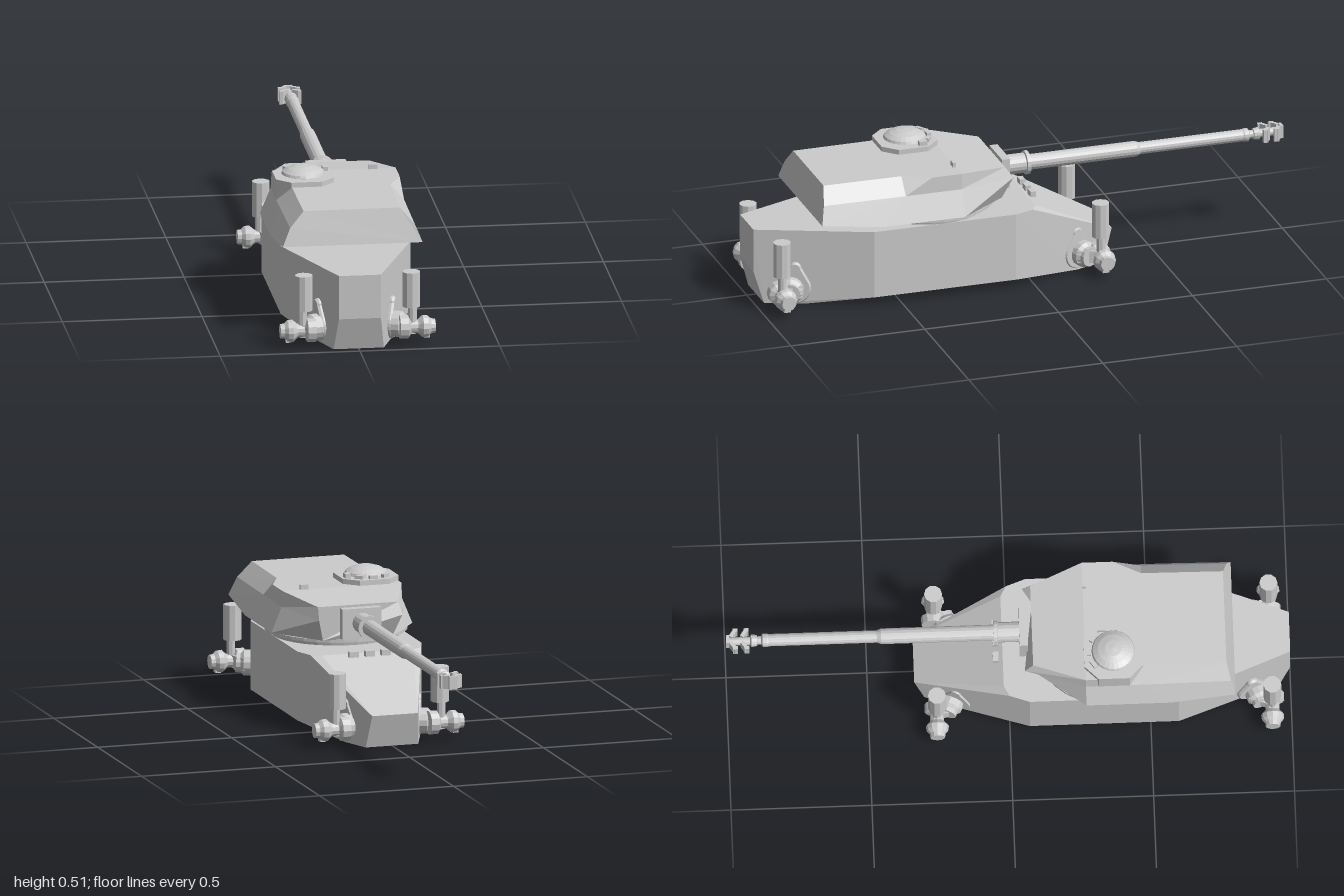
import * as THREE from 'three';
import { ConvexGeometry } from 'three/addons/geometries/ConvexGeometry.js';

const mat = new THREE.MeshStandardMaterial({ color: 0xcccccc, flatShading: true });

function add(parent, name, geo, x = 0, y = 0, z = 0) {
  const m = new THREE.Mesh(geo, mat);
  m.name = name;
  m.position.set(x, y, z);
  parent.add(m);
  return m;
}
const box = (w, h, d) => new THREE.BoxGeometry(w, h, d);
const lathe = (pts, seg) => new THREE.LatheGeometry(pts.map(p => new THREE.Vector2(...p)), seg);

// Skin over half cross-sections (bottom to top, +x side), mirrored to -x
function loftHalves(halves) {
  const rings = halves.map(h => [...h, ...h.slice().reverse().map(([x, y, z]) => [-x, y, z])]);
  const n = rings[0].length, pos = [];
  const tri = (a, b, c) => pos.push(...a, ...b, ...c);
  for (let i = 0; i < rings.length - 1; i++) {
    const a = rings[i], b = rings[i + 1];
    for (let j = 0; j < n; j++) {
      const k = (j + 1) % n;
      tri(a[j], a[k], b[j]);
      tri(a[k], b[k], b[j]);
    }
  }
  const first = rings[0], last = rings[rings.length - 1];
  for (let j = 1; j < n - 1; j++) {
    tri(first[0], first[j + 1], first[j]);
    tri(last[0], last[j], last[j + 1]);
  }
  const g = new THREE.BufferGeometry();
  g.setAttribute('position', new THREE.Float32BufferAttribute(pos, 3));
  g.computeVertexNormals();
  return g;
}

function buildHull(root) {
  const half = [
    // deck, then glacis and tail
    [0.075, 0.28, 1], [0.232, 0.28, 0.6], [0.232, 0.28, 0.07], [0.207, 0.28, 0], [0.17, 0.28, -0.02],
    [0.085, 0.12, -0.335], [0.075, 0.12, 1],
    // chamfer and belly
    [0.232, 0.03, 0.6], [0.232, 0.03, 0.07],
    [0.09, 0, 0.965], [0.14, 0, 0.83], [0.14, 0, -0.19], [0.098, 0, -0.3],
  ];
  const pts = half.flatMap(([x, y, z]) => [new THREE.Vector3(x, y, z), new THREE.Vector3(-x, y, z)]);
  add(root, 'hull', new ConvexGeometry(pts));
  for (const x of [-0.06, 0, 0.06]) add(root, 'driverPeriscope', box(0.035, 0.02, 0.02), x, 0.282, -0.045);
}

function buildTurret(root) {
  const turret = new THREE.Group();
  turret.name = 'turret';
  root.add(turret);
  add(turret, 'turretRing', lathe([[0, 0.27], [0.23, 0.27], [0.235, 0.293], [0.255, 0.295], [0.255, 0.306], [0, 0.309]], 32), 0, 0, 0.34);
  add(turret, 'turretShell', loftHalves([
    [[0.13, 0.308, 0.09], [0.155, 0.39, 0.055], [0.15, 0.432, 0.085]],
    [[0.263, 0.308, 0.27], [0.225, 0.4, 0.27], [0.222, 0.457, 0.27]],
    [[0.263, 0.308, 0.4], [0.225, 0.4, 0.38], [0.222, 0.457, 0.38]],
    [[0.263, 0.308, 0.57], [0.225, 0.4, 0.48], [0.175, 0.457, 0.48]],
    [[0.25, 0.335, 0.8], [0.222, 0.4, 0.785], [0.172, 0.457, 0.77]],
  ]));

  // Commander's cupola on an eight-sided plinth
  const cx = -0.122, cz = 0.37, r = 0.104, c = 0.055;
  const oct = [[r, c], [c, r], [-c, r], [-r, c], [-r, -c], [-c, -r], [c, -r], [r, -c]];
  const plinth = new THREE.ExtrudeGeometry(new THREE.Shape(oct.map(p => new THREE.Vector2(...p))), { depth: 0.075, bevelEnabled: false });
  plinth.rotateX(-Math.PI / 2);
  add(turret, 'cupolaPlinth', plinth, cx, 0.4, cz);
  add(turret, 'cupolaDome', lathe([[0.066, 0.47], [0.066, 0.478], [0.077, 0.479], [0.073, 0.488], [0.055, 0.499], [0.03, 0.507], [0, 0.51]], 24), cx, 0, cz);
  for (let i = -1; i <= 1; i++) {
    const a = i * 0.6;
    add(turret, 'cupolaPeriscope', box(0.03, 0.014, 0.014), cx + 0.086 * Math.sin(a), 0.48, cz - 0.086 * Math.cos(a)).rotation.y = -a;
  }
  add(turret, 'cupolaSight', box(0.02, 0.02, 0.03), cx + 0.083, 0.481, cz - 0.04);
  add(turret, 'roofPeriscope', box(0.03, 0.02, 0.012), 0.14, 0.464, 0.275);
}

function buildGun(root) {
  const gun = new THREE.Group();
  gun.name = 'gun';
  gun.position.y = 0.375;
  root.add(gun);
  add(gun, 'mantletPlate', box(0.145, 0.11, 0.03), 0, -0.003, 0.055);
  const along = (name, pts, seg) => { add(gun, name, lathe(pts, seg)).rotation.x = -Math.PI / 2; };
  along('mantletCollar', [[0, -0.06], [0.036, -0.06], [0.036, 0.035], [0.043, 0.037], [0.043, 0.05], [0, 0.05]], 16);
  along('barrel', [[0, 0], [0.028, 0], [0.028, 0.45], [0.022, 0.465], [0.022, 0.85], [0.024, 0.855], [0.024, 0.87], [0.015, 0.875], [0.015, 0.995], [0, 0.995]], 16);
  along('muzzleCollar', [[0, 0.885], [0.02, 0.89], [0.023, 0.91], [0.015, 0.915]], 12);

  // Two pairs of swept baffles on the muzzle
  for (const z of [-0.935, -0.975]) for (const s of [-1, 1]) {
    add(gun, 'muzzleBaffle', box(0.032, 0.048, 0.013), s * 0.023, 0, z).rotation.y = -s * 0.6;
    add(gun, 'muzzleBaffleTip', box(0.012, 0.048, 0.018), s * 0.033, 0, z + 0.008);
  }
  add(gun, 'muzzleFace', box(0.03, 0.048, 0.012), 0, 0, -0.994);
}

// Pear-shaped bolting flange
function flangeGeometry() {
  const s = new THREE.Shape();
  s.absarc(0, 0, 0.052, Math.PI * 0.8, Math.PI * 2.2, false);
  s.lineTo(0.017, 0.076);
  s.absarc(0, 0.076, 0.017, 0, Math.PI, false);
  return new THREE.ExtrudeGeometry(s, { depth: 0.012, bevelEnabled: true, bevelThickness: 0.008, bevelSize: 0.005, bevelSegments: 1, curveSegments: 10 });
}

function buildStrut(root, sx, sz, zAxle, zFlange) {
  const strut = new THREE.Group();
  strut.name = 'suspensionUnit';
  root.add(strut);
  const nx = sx * 0.936, nz = sz * 0.351, yaw = Math.atan2(nx, nz);
  // flange and boss square to the slanted hull side
  add(strut, 'flange', flangeGeometry(), sx * 0.125, 0.062, zFlange).rotation.y = yaw;
  const boss = lathe([[0, 0], [0.047, 0], [0.047, 0.028], [0.036, 0.04], [0.036, 0.055], [0, 0.055]], 14);
  boss.rotateX(Math.PI / 2);
  add(strut, 'boss', boss, sx * 0.135, 0.062, zFlange + sz * 0.02).rotation.y = yaw;
  // swing arm out to the axle
  const arm = add(strut, 'swingArm', box(0.03, 0.045, 0.1), sx * 0.178, 0.063, (zAxle + zFlange) / 2 + sz * 0.005);
  arm.rotation.y = sx * sz * 0.3;
  const axle = add(strut, 'axleHub', lathe([[0, 0.15], [0.043, 0.15], [0.043, 0.18], [0.025, 0.19], [0.025, 0.215],
    [0.029, 0.22], [0.041, 0.233], [0.039, 0.25], [0.028, 0.262], [0.026, 0.277], [0, 0.277]], 12), 0, 0.064, zAxle);
  axle.rotation.z = -sx * Math.PI / 2;
  add(strut, 'hubLug', box(0.02, 0.02, 0.025), sx * 0.248, 0.034, zAxle);
  // upright damper
  add(strut, 'damper', new THREE.CylinderGeometry(0.032, 0.032, 0.128, 10), sx * 0.192, 0.204, zAxle);
  add(strut, 'damperRod', new THREE.CylinderGeometry(0.016, 0.016, 0.08, 8), sx * 0.197, 0.105, zAxle);
}

export function createModel() {
  const root = new THREE.Group();
  root.name = 'tank';
  buildHull(root);
  buildTurret(root);
  buildGun(root);
  for (const sx of [-1, 1]) {
    buildStrut(root, sx, 1, 0.932, 0.86);
    buildStrut(root, sx, -1, -0.258, -0.185);
  }
  return root;
}
